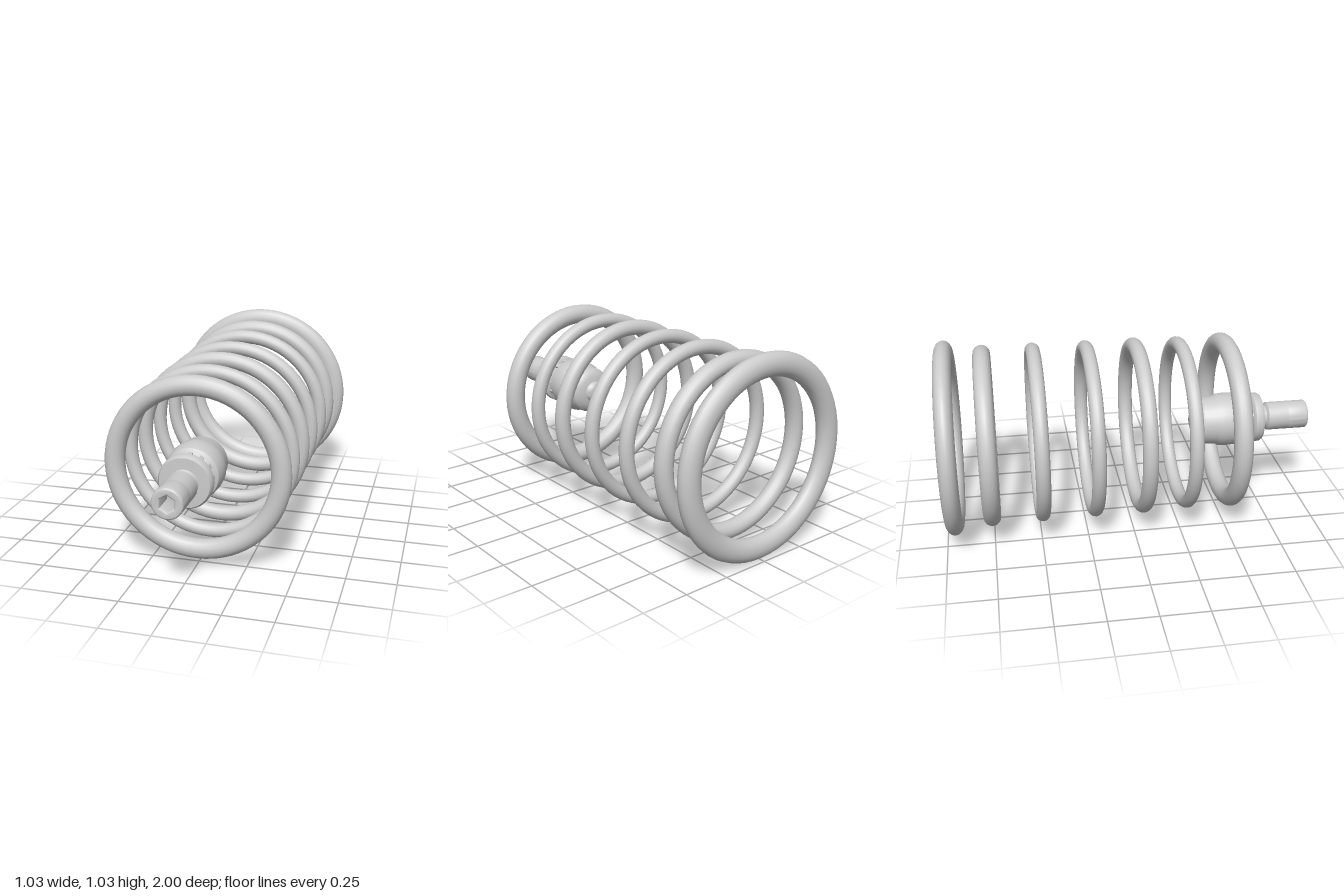
import * as THREE from 'three';
import { toCreasedNormals } from 'three/addons/utils/BufferGeometryUtils.js';

const AXIS_Y = 0.52;

export function createModel() {
  const model = new THREE.Group();
  const material = new THREE.MeshStandardMaterial({ color: 0xcccccc });
  const add = (name, geometry, parent) => {
    const mesh = new THREE.Mesh(geometry, material);
    mesh.name = name;
    parent.add(mesh);
    return mesh;
  };

  // Rings: z centre, outer radius, radial half thickness, axial half thickness
  const coil = new THREE.Group();
  coil.name = 'ringStack';
  model.add(coil);
  [
    [0.535, 0.478, 0.052, 0.05],
    [0.291, 0.470, 0.037, 0.037],
    [0.053, 0.477, 0.041, 0.041],
    [-0.208, 0.476, 0.037, 0.037],
    [-0.490, 0.479, 0.038, 0.038],
    [-0.757, 0.482, 0.046, 0.046],
    [-0.953, 0.516, 0.06, 0.047],
  ].forEach(([z, outer, radial, axial], i) => {
    const ring = add(`ring${i + 1}`, new THREE.TorusGeometry(outer - radial, radial, 16, 64), coil);
    ring.scale.z = axial / radial;
    ring.position.set(0, AXIS_Y - 0.002, z);
  });

  // Fitting on the axis of the front ring
  const fitting = new THREE.Group();
  fitting.name = 'fitting';
  fitting.position.y = AXIS_Y;
  model.add(fitting);

  // Turned parts: profiles of [radius, z] from back to front
  const turned = (name, profile) => {
    const points = profile.map(([r, z]) => new THREE.Vector2(r, z));
    const geometry = new THREE.LatheGeometry(points, 32).rotateX(Math.PI / 2);
    add(name, toCreasedNormals(geometry, 0.7), fitting);
  };
  turned('body', [
    [0, 0.346], [0.035, 0.346], [0.05, 0.355], [0.058, 0.372], [0.09, 0.378],
    [0.118, 0.392], [0.127, 0.41], [0.132, 0.475], [0.142, 0.495], [0.145, 0.54],
    [0.142, 0.59], [0.135, 0.615], [0.122, 0.622], [0.105, 0.63], [0.105, 0.675],
    [0.125, 0.68], [0.135, 0.69], [0.135, 0.722], [0.126, 0.736], [0.07, 0.738],
    [0.062, 0.75], [0.062, 0.768], [0.077, 0.778], [0.077, 0.89], [0, 0.89],
  ]);

  // Small ribs bridging the groove
  for (let i = 0; i < 12; i++) {
    const a = (i / 12) * Math.PI * 2;
    const rib = add('grooveRib', new THREE.BoxGeometry(0.022, 0.022, 0.07), fitting);
    rib.position.set(0.106 * Math.cos(a), 0.106 * Math.sin(a), 0.652);
    rib.rotation.z = a;
  }

  // Shaft end with a hexagonal socket
  const bevel = 0.01;
  const face = new THREE.Shape().absarc(0, 0, 0.077 - bevel, 0, Math.PI * 2);
  const hex = Array.from({ length: 6 }, (_, i) => {
    const a = (i / 6) * Math.PI * 2 + Math.PI / 2;
    return new THREE.Vector2(Math.cos(a) * 0.052, Math.sin(a) * 0.052);
  });
  face.holes.push(new THREE.Path(hex));
  const shaftEnd = new THREE.ExtrudeGeometry(face, {
    depth: 0.12 - 2 * bevel, bevelThickness: bevel, bevelSize: bevel, bevelSegments: 3, curveSegments: 24,
  });
  shaftEnd.translate(0, 0, 0.88 + bevel);
  add('socketShaft', toCreasedNormals(shaftEnd, 0.6), fitting);

  return model;
}
